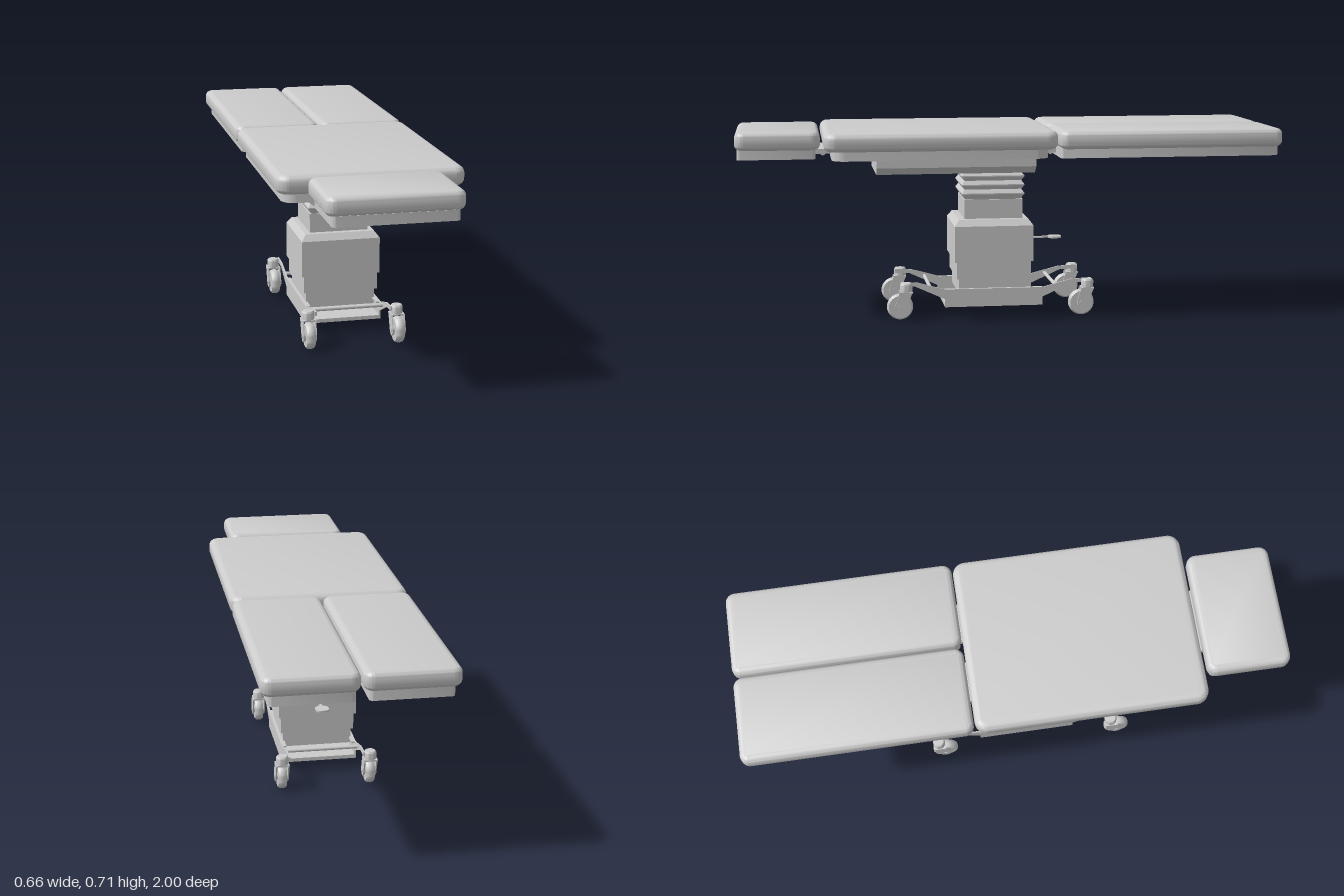
import * as THREE from 'three';
import { toCreasedNormals } from 'three/addons/utils/BufferGeometryUtils.js';

const smooth = new THREE.MeshStandardMaterial({ color: 0xcccccc });
const flat = new THREE.MeshStandardMaterial({ color: 0xcccccc, flatShading: true });

function add(parent, name, geometry, material = smooth, x = 0, y = 0, z = 0) {
  const mesh = new THREE.Mesh(geometry, material);
  mesh.name = name;
  mesh.position.set(x, y, z);
  parent.add(mesh);
  return mesh;
}

function box(parent, name, [x0, x1], [y0, y1], [z0, z1]) {
  const g = new THREE.BoxGeometry(x1 - x0, y1 - y0, z1 - z0);
  return add(parent, name, g, flat, (x0 + x1) / 2, (y0 + y1) / 2, (z0 + z1) / 2);
}

// Horizontal slab with rounded plan corners and optionally rounded edges
function slab(parent, name, [x0, x1], [y0, y1], [z0, z1], radius, bevel = 0) {
  const w = (x1 - x0) / 2 - bevel, d = (z1 - z0) / 2 - bevel, r = radius - bevel;
  const s = new THREE.Shape();
  s.moveTo(-w + r, -d);
  s.lineTo(w - r, -d);
  s.absarc(w - r, -d + r, r, -Math.PI / 2, 0);
  s.absarc(w - r, d - r, r, 0, Math.PI / 2);
  s.absarc(-w + r, d - r, r, Math.PI / 2, Math.PI);
  s.absarc(-w + r, -d + r, r, Math.PI, Math.PI * 1.5);
  let g = new THREE.ExtrudeGeometry(s, {
    depth: y1 - y0 - 2 * bevel, curveSegments: 8,
    bevelEnabled: bevel > 0, bevelSize: bevel, bevelThickness: bevel, bevelSegments: 6,
  });
  g.rotateX(-Math.PI / 2);
  g = toCreasedNormals(g, 0.7);
  return add(parent, name, g, smooth, (x0 + x1) / 2, y0 + bevel, (z0 + z1) / 2);
}

// Square column from [half width, height] pairs, bottom to top
function column(parent, name, profile, z, zScale = 1) {
  const pts = profile.map(([h, y]) => new THREE.Vector2(h * Math.SQRT2, y));
  const closed = [new THREE.Vector2(0, pts[0].y), ...pts, new THREE.Vector2(0, pts.at(-1).y)];
  const g = new THREE.LatheGeometry(closed, 4, Math.PI / 4).scale(1, 1, zScale);
  return add(parent, name, g, flat, 0, 0, z);
}

// Vertical plate from a [z, y] outline, with its thickness along x
function sidePlate(parent, name, outline, x, thickness) {
  const s = new THREE.Shape(outline.map(([z, y]) => new THREE.Vector2(z, y)));
  const g = new THREE.ExtrudeGeometry(s, { depth: thickness, bevelEnabled: false });
  g.rotateY(-Math.PI / 2).translate(thickness / 2, 0, 0);
  return add(parent, name, g, flat, x);
}

function rodX(parent, name, radius, length, x, y, z) {
  const g = new THREE.CylinderGeometry(radius, radius, length, 20).rotateZ(Math.PI / 2);
  return add(parent, name, g, smooth, x, y, z);
}

function caster(x, z) {
  const c = new THREE.Group();
  c.name = 'caster';
  c.position.set(x, 0, z);
  // Swivel housing with softened top rim
  const swivel = [[0, 0.103], [0.023, 0.103], [0.023, 0.131], [0.019, 0.137], [0, 0.137]];
  add(c, 'swivel', toCreasedNormals(new THREE.LatheGeometry(
    swivel.map(p => new THREE.Vector2(...p)), 24), 0.6));
  box(c, 'forkCrown', [-0.025, 0.025], [0.1, 0.106], [-0.022, 0.024]);
  const fork = [[-0.022, 0.106], [0.004, 0.04], [0.016, 0.028], [0.032, 0.028],
    [0.042, 0.04], [0.042, 0.056], [0.026, 0.106]];
  for (const s of [-1, 1]) sidePlate(c, 'forkSide', fork, s * 0.0225, 0.005);
  // Tyre, hub and axle
  const tyre = [[0.014, -0.016], [0.042, -0.016], [0.047, -0.011], [0.049, 0],
    [0.047, 0.011], [0.042, 0.016], [0.014, 0.016]];
  const wheel = new THREE.LatheGeometry(tyre.map(p => new THREE.Vector2(...p)), 32);
  add(c, 'wheel', toCreasedNormals(wheel.rotateZ(Math.PI / 2), 0.7), smooth, 0, 0.049, 0.024);
  rodX(c, 'hub', 0.018, 0.038, 0, 0.049, 0.024);
  rodX(c, 'axle', 0.009, 0.054, 0, 0.049, 0.024);
  return c;
}

export function createModel() {
  const model = new THREE.Group();
  model.name = 'treatmentTable';

  // Padded top: head, main and two leg sections, each on a board
  const pad = [0.641, 0.708], board = [0.608, 0.645];
  slab(model, 'headCushion', [-0.233, 0.233], pad, [0.694, 1], 0.035, 0.022);
  slab(model, 'headBoard', [-0.213, 0.213], board, [0.71, 0.992], 0.015);
  slab(model, 'mainCushion', [-0.329, 0.329], pad, [-0.163, 0.684], 0.045, 0.024);
  slab(model, 'mainBoard', [-0.305, 0.305], board, [-0.13, 0.655], 0.05);
  for (const s of [-1, 1]) {
    const span = (a, b) => (s > 0 ? [a, b] : [-b, -a]);
    slab(model, 'legCushion', span(0.004, 0.328), pad, [-1, -0.167], 0.035, 0.022);
    slab(model, 'legBoard', span(0.022, 0.305), board, [-0.985, -0.172], 0.015);
    box(model, 'legHingeLeaf', span(0.04, 0.19), [0.618, 0.636], [-0.19, -0.11]);
    rodX(model, 'legHingePin', 0.01, 0.15, s * 0.115, 0.622, -0.151);
  }
  box(model, 'headHingeLeaf', [-0.12, 0.12], [0.618, 0.636], [0.64, 0.73]);
  rodX(model, 'headHingePin', 0.01, 0.24, 0, 0.622, 0.682);

  // Chamfered carrier under the top
  const carrier = new THREE.Shape([[-0.15, 0.54], [0.15, 0.54], [0.183, 0.567], [0.183, 0.61],
    [-0.183, 0.61], [-0.183, 0.567]].map(p => new THREE.Vector2(...p)));
  add(model, 'carrier', new THREE.ExtrudeGeometry(carrier, { depth: 0.59, bevelEnabled: false }),
    flat, 0, 0, -0.1);

  // Lifting column with bellows
  const pleats = [[0.104, 0.435]];
  for (let i = 0; i < 3; i++) {
    const y = 0.441 + i * 0.033;
    pleats.push([0.107, y], [0.117, y + 0.015], [0.117, y + 0.019]);
  }
  pleats.push([0.105, 0.541]);
  column(model, 'bellows', pleats, 0.052);
  column(model, 'innerColumn', [[0.11, 0.36], [0.11, 0.436]], 0.05);
  column(model, 'housing', [[0.148, 0.205], [0.148, 0.34], [0.13, 0.364]], 0.052);
  column(model, 'lowerHousing', [[0.14, 0.14], [0.14, 0.205]], 0.052);
  column(model, 'columnFoot', [[0.131, 0.08], [0.131, 0.14]], 0.052);

  // Height lever on the back of the housing
  box(model, 'leverSlot', [-0.01, 0.01], [0.25, 0.3], [-0.099, -0.094]);
  box(model, 'leverArm', [-0.006, 0.006], [0.269, 0.275], [-0.185, -0.09]);
  slab(model, 'leverPaddle', [-0.025, 0.025], [0.269, 0.276], [-0.225, -0.175], 0.018);

  // Wheeled base: floor plate, cranked side rails and cross bars
  box(model, 'floorPlate', [-0.141, 0.141], [0.036, 0.05], [-0.131, 0.238]);
  const rail = [[-0.131, 0.036], [0.238, 0.036], [0.238, 0.067], [0.35, 0.118], [0.405, 0.12],
    [0.405, 0.136], [0.34, 0.132], [0.238, 0.104], [-0.131, 0.104], [-0.24, 0.132],
    [-0.315, 0.136], [-0.315, 0.12], [-0.245, 0.118], [-0.131, 0.067]];
  for (const s of [-1, 1]) {
    sidePlate(model, 'sideRail', rail, s * 0.14, 0.006);
    box(model, 'railFlange', s > 0 ? [0.125, 0.142] : [-0.142, -0.125], [0.098, 0.104], [-0.131, 0.238]);
    model.add(caster(s * 0.165, 0.384), caster(s * 0.165, -0.298));
  }
  for (const z of [0.29, -0.185]) rodX(model, 'crossBar', 0.007, 0.28, 0, 0.106, z);

  return model;
}
